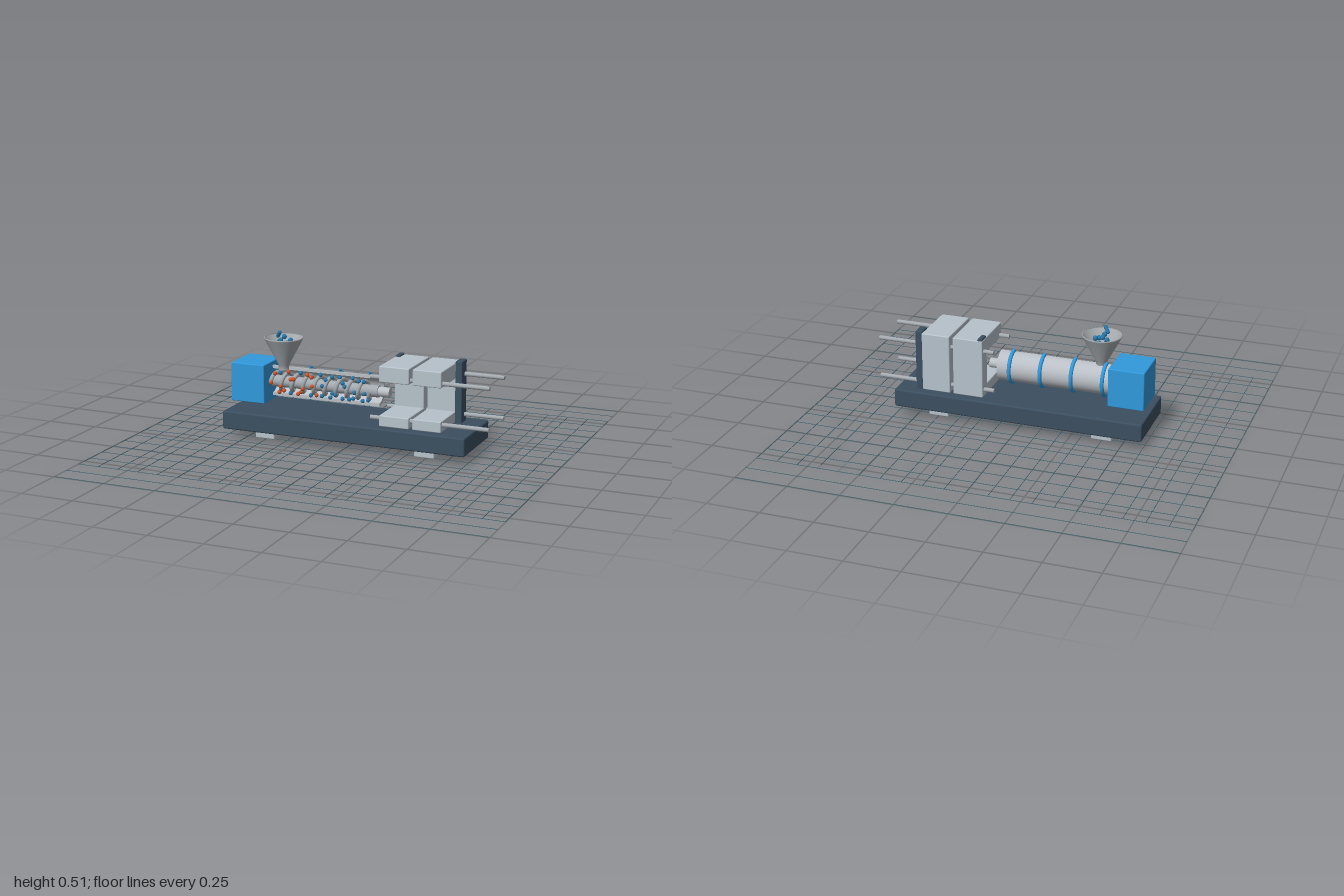
import * as THREE from 'three';
import { RoundedBoxGeometry } from 'three/addons/geometries/RoundedBoxGeometry.js';

const mat = (name, color, side = THREE.FrontSide) => {
  const m = new THREE.MeshStandardMaterial({ color, side });
  m.name = name;
  return m;
};

export function createModel() {
  const slate = mat('slate', 0x3b4f60);
  const gridTeal = mat('grid teal', 0x406474);
  const lightSteel = mat('light steel', 0xb6c2cb);
  const steel = mat('steel', 0xb9bfc5);
  const rodSteel = mat('rod steel', 0xa2a9af);
  const hopperGrey = mat('hopper grey', 0xa8adb1, THREE.DoubleSide);
  const blue = mat('blue', 0x3199dc);
  const pelletBlue = mat('pellet blue', 0x2878ac);
  const orange = mat('orange', 0xd4542a);

  const model = new THREE.Group();
  model.name = 'mouldingMachine';
  const AXIS = 0.257; // height of the screw axis

  const add = (name, geometry, material, x = 0, y = 0, z = 0, parent = model) => {
    const mesh = new THREE.Mesh(geometry, material);
    mesh.name = name;
    mesh.position.set(x, y, z);
    parent.add(mesh);
    return mesh;
  };
  // Softly rounded block given by its limits on each axis
  const block = (name, material, [x0, x1], [y0, y1], [z0, z1], r = 0.005) =>
    add(name, new RoundedBoxGeometry(x1 - x0, y1 - y0, z1 - z0, 2, r), material,
      (x0 + x1) / 2, (y0 + y1) / 2, (z0 + z1) / 2);
  // Cylinder lying along x
  const rod = (name, material, x0, x1, y, z, r0, r1 = r0) =>
    add(name, new THREE.CylinderGeometry(r1, r0, x1 - x0, 24).rotateZ(-Math.PI / 2), material,
      (x0 + x1) / 2, y, z);

  // Floor grid of thin bars
  const grid = new THREE.Group();
  grid.name = 'floorGrid';
  model.add(grid);
  const longBar = new THREE.BoxGeometry(2, 0.002, 0.002);
  const crossBar = new THREE.BoxGeometry(0.002, 0.002, 1.6);
  for (let i = -10; i <= 10; i++) {
    add('gridLineLong', longBar, gridTeal, 0, 0.001, i * 0.0999, grid);
    add('gridLineCross', crossBar, gridTeal, i * 0.0999, 0.001, 0, grid);
  }

  // Base, feet and drive housing
  block('base', slate, [-0.6, 0.6], [0.043, 0.13], [-0.17, 0.17], 0.008);
  for (const x of [-0.4, 0.395]) block('foot', lightSteel, [x - 0.048, x + 0.048], [0.006, 0.045], [-0.13, 0.13]);
  block('driveHousing', blue, [-0.587, -0.417], [0.164, 0.35], [-0.098, 0.098]);

  // Barrel, cut open towards the front
  const half = new THREE.Shape();
  half.absarc(0, 0, 0.073, -Math.PI / 2, Math.PI / 2, false);
  half.absarc(0, 0, 0.058, Math.PI / 2, -Math.PI / 2, true);
  half.closePath();
  const barrel = new THREE.ExtrudeGeometry(half, { depth: 0.545, bevelEnabled: false, curveSegments: 32 });
  add('barrel', barrel.rotateY(Math.PI / 2), steel, -0.42, AXIS, 0);

  // Heater bands around the barrel
  const band = new THREE.TorusGeometry(0.077, 0.009, 10, 32, Math.PI)
    .rotateZ(-Math.PI / 2).rotateY(Math.PI / 2);
  for (let i = 0; i < 4; i++) add('heaterBand', band, blue, -0.383 + i * 0.149, AXIS, 0);

  // Screw core, helical flight and nozzle
  rod('screwCore', rodSteel, -0.42, 0.125, AXIS, 0, 0.028);
  const turns = 9;
  class Helix extends THREE.Curve {
    getPoint(t, target = new THREE.Vector3()) {
      const a = t * turns * Math.PI * 2;
      return target.set(-0.41 + 0.5 * t, 0.04 * Math.sin(a), 0.04 * Math.cos(a));
    }
  }
  add('screwFlight', new THREE.TubeGeometry(new Helix(), 300, 0.01, 8), rodSteel, 0, AXIS, 0);
  rod('nozzle', steel, 0.12, 0.18, AXIS, 0, 0.023);

  // Hopper: open funnel with a short neck
  const funnel = [[0.026, 0.315], [0.026, 0.34], [0.092, 0.465], [0.093, 0.471], [0.089, 0.471]]
    .map(([r, y]) => new THREE.Vector2(r, y));
  add('hopper', new THREE.LatheGeometry(funnel, 40), hopperGrey, -0.358, 0, 0);

  // Pellets in the hopper, with one dropping in
  const pellet = new THREE.SphereGeometry(0.01, 12, 8);
  for (let i = 0; i < 8; i++) {
    const a = i * 2.4;
    add('hopperPellet', new THREE.SphereGeometry(0.012, 12, 8), pelletBlue,
      -0.354 + 0.028 * Math.cos(a), 0.425 + 0.006 * i, 0.028 * Math.sin(a));
  }
  add('fallingPellet', new THREE.CapsuleGeometry(0.009, 0.026, 4, 10), pelletBlue, -0.373, 0.488, 0.022)
    .rotation.set(0.4, 0, -0.55);

  // Pellets along the screw, spread over the open front side
  for (let i = 0; i < 40; i++) {
    const a = Math.sin(i * 2.4) * 1.3;
    const hot = i < 20 && i % 4 !== 3;
    add(hot ? 'hotPellet' : 'pellet', pellet, hot ? orange : pelletBlue,
      -0.405 + i * 0.0125, AXIS + 0.054 * Math.sin(a), 0.054 * Math.cos(a) - 0.007);
  }

  // Two mould halves, each cut open to a C section
  for (const span of [[0.174, 0.319], [0.336, 0.473]]) {
    block('mouldTop', lightSteel, span, [0.337, 0.412], [-0.129, 0.129]);
    block('mouldBottom', lightSteel, span, [0.13, 0.182], [-0.129, 0.129]);
    block('mouldBack', lightSteel, span, [0.17, 0.345], [-0.129, -0.065]);
  }

  // Dark platens behind the cutaway
  block('fixedPlaten', slate, [0.176, 0.199], [0.14, 0.42], [-0.127, -0.067]);
  block('movingPlaten', slate, [0.471, 0.504], [0.125, 0.42], [-0.128, -0.062]);

  // Tie bars
  for (const y of [0.164, 0.354]) {
    for (const z of [-0.105, 0.105]) rod('tieBar', rodSteel, 0.125, 0.693, y, z, 0.01);
  }

  return model;
}
